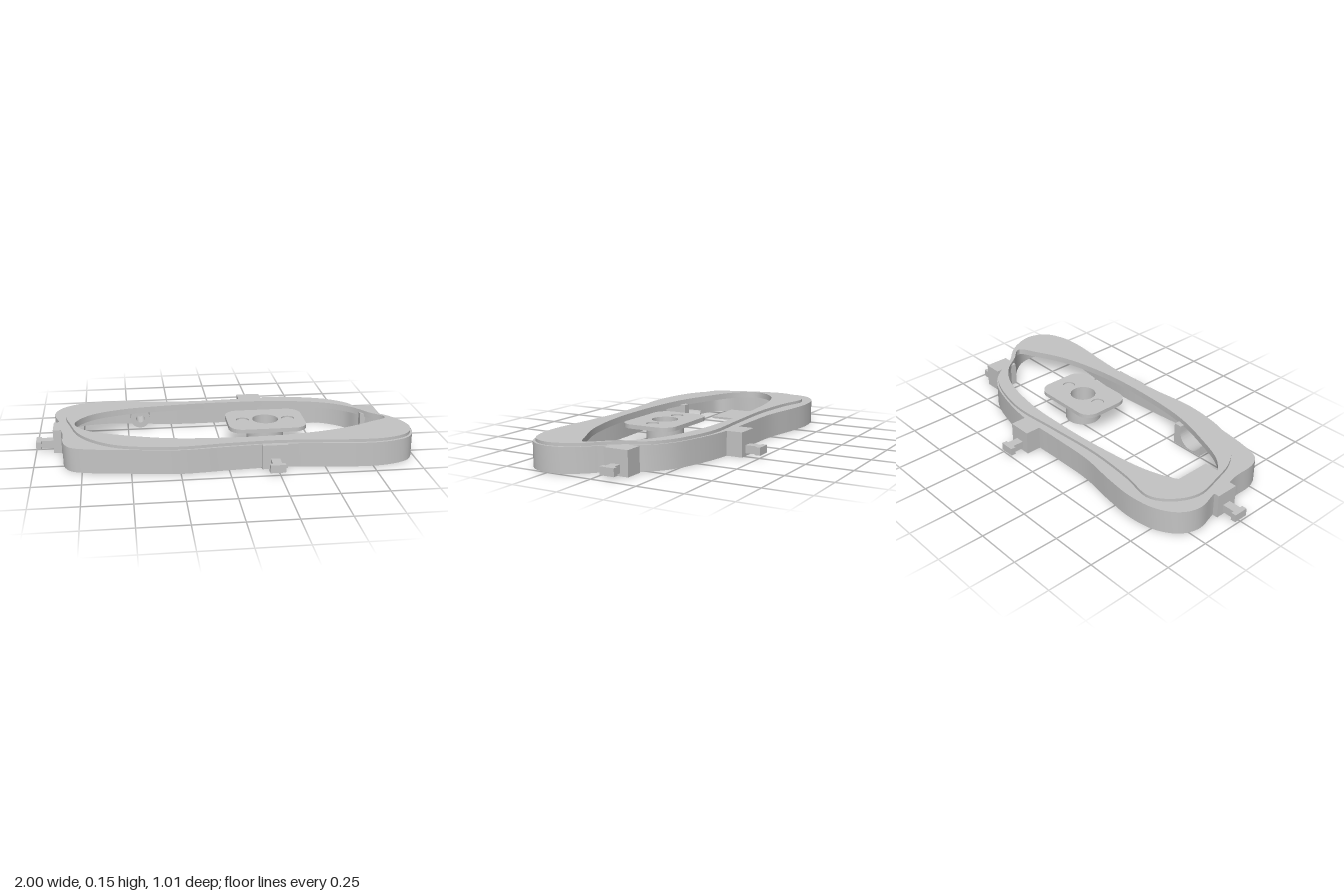
import * as THREE from 'three';
import { toCreasedNormals } from 'three/addons/utils/BufferGeometryUtils.js';

const grey = new THREE.MeshStandardMaterial({ color: 0xc4c4c4 });
grey.name = 'grey plastic';

// Closed smooth outline through clockwise [x, z] points, returned anticlockwise in shape space (y = -z)
const outline = (pts, n = 160) =>
  new THREE.CatmullRomCurve3(pts.map(([x, z]) => new THREE.Vector3(x, -z, 0)), true)
    .getSpacedPoints(n).slice(0, n).map((p) => new THREE.Vector2(p.x, p.y)).reverse();

// Move an anticlockwise outline inwards by d
const inset = (pts, d) => pts.map((p, i) => {
  const a = pts[(i + pts.length - 1) % pts.length], b = pts[(i + 1) % pts.length];
  const t = b.clone().sub(a).normalize();
  return new THREE.Vector2(p.x - t.y * d, p.y + t.x * d);
});

const circle = (x, y, r) => new THREE.Path().absarc(x, y, r, 0, Math.PI * 2, true);

function roundedRect(x0, x1, y0, y1, r) {
  const s = new THREE.Shape();
  s.absarc(x1 - r, y1 - r, r, 0, Math.PI / 2);
  s.absarc(x0 + r, y1 - r, r, Math.PI / 2, Math.PI);
  s.absarc(x0 + r, y0 + r, r, Math.PI, Math.PI * 1.5);
  s.absarc(x1 - r, y0 + r, r, Math.PI * 1.5, Math.PI * 2);
  return s;
}

export function createModel() {
  const model = new THREE.Group();
  model.name = 'housingFrame';

  const add = (name, geometry, parent = model) => {
    const m = new THREE.Mesh(geometry, grey);
    m.name = name;
    parent.add(m);
    return m;
  };
  // Horizontal slab from y0 to y1
  const slab = (name, shape, holes, y0, y1) => {
    shape.holes = holes;
    const g = new THREE.ExtrudeGeometry(shape, { depth: y1 - y0, bevelEnabled: false, curveSegments: 24 });
    g.rotateX(-Math.PI / 2).translate(0, y0, 0);
    return add(name, toCreasedNormals(g, 0.6));
  };
  const box = (name, x0, x1, y0, y1, z0, z1, parent) => {
    const m = add(name, new THREE.BoxGeometry(x1 - x0, y1 - y0, z1 - z0), parent);
    m.position.set((x0 + x1) / 2, (y0 + y1) / 2, (z0 + z1) / 2);
    return m;
  };

  // Outlines, listed clockwise seen from above
  const outer = outline([
    [-0.905, -0.19], [-0.87, -0.285], [-0.77, -0.355], [-0.62, -0.38], [-0.45, -0.365], [-0.24, -0.332],
    [0, -0.328], [0.28, -0.328], [0.51, -0.285], [0.66, -0.23], [0.76, -0.145], [0.8, -0.06], [0.86, 0.015],
    [0.93, 0.085], [0.985, 0.17], [0.998, 0.27], [0.955, 0.37], [0.84, 0.423], [0.7, 0.434], [0.46, 0.408],
    [0.24, 0.393], [0.02, 0.403], [-0.26, 0.422], [-0.5, 0.39], [-0.72, 0.355], [-0.81, 0.32], [-0.845, 0.25],
    [-0.85, 0.13], [-0.865, 0.05], [-0.875, -0.06]]);
  const lip = outline([
    [-0.84, -0.13], [-0.79, -0.25], [-0.69, -0.325], [-0.5, -0.295], [-0.24, -0.275], [0.08, -0.288],
    [0.35, -0.302], [0.51, -0.275], [0.65, -0.225], [0.75, -0.145], [0.79, -0.055], [0.85, 0.022],
    [0.92, 0.09], [0.973, 0.18], [0.988, 0.27], [0.945, 0.36], [0.83, 0.411], [0.7, 0.42], [0.46, 0.398],
    [0.24, 0.383], [0, 0.393], [-0.29, 0.413], [-0.56, 0.36], [-0.69, 0.27], [-0.77, 0.16], [-0.81, 0.03]]);
  const opening = outline([
    [-0.79, 0.02], [-0.72, -0.1], [-0.55, -0.18], [-0.24, -0.225], [0.08, -0.238], [0.35, -0.227],
    [0.62, -0.165], [0.75, -0.08], [0.83, 0.025], [0.9, 0.11], [0.8, 0.17], [0.62, 0.25], [0.35, 0.305],
    [0.03, 0.317], [-0.29, 0.29], [-0.5, 0.23], [-0.72, 0.13]]);

  // Thin side wall, top flange and raised lip
  slab('sideWall', new THREE.Shape(outer), [new THREE.Path(inset(outer, 0.022).reverse())], 0, 0.13);
  const openingHole = new THREE.Path(opening.slice().reverse());
  slab('topFlange', new THREE.Shape(inset(outer, 0.002)), [openingHole], 0.112, 0.13);
  slab('raisedLip', new THREE.Shape(lip), [openingHole], 0.13, 0.146);

  // Centre mounting plate with shallow screw recesses and a hollow stem
  const [cx, cy] = [0.24, -0.062];
  const plate = () => roundedRect(0.03, 0.45, -0.215, 0.09, 0.075);
  slab('centrePlateBase', plate(), [circle(cx, cy, 0.07)], 0.124, 0.138);
  slab('centrePlateTop', plate(),
    [circle(cx, cy, 0.07), circle(cx - 0.125, cy, 0.035), circle(cx + 0.125, cy, 0.035)], 0.138, 0.146);
  slab('centreStem', new THREE.Shape().absarc(cx, cy, 0.1, 0, Math.PI * 2), [circle(cx, cy, 0.07)], 0, 0.124);

  // Floor plate at the wide end
  box('floorPlate', -0.845, -0.57, 0, 0.012, -0.14, 0.218);

  // Side clips: block, tongue and T-shaped head, built pointing along +z
  const clip = (name, x, z, angle, width, depth, reach) => {
    const g = new THREE.Group();
    g.name = name;
    box('clipBlock', -width / 2, width / 2, 0, 0.13, -depth, 0, g);
    box('clipTongue', -0.024, 0.024, 0.015, 0.057, -0.01, reach - 0.028, g);
    box('clipHead', -0.04, 0.04, 0.015, 0.057, reach - 0.028, reach, g);
    g.position.set(x, 0, z);
    g.rotation.y = angle;
    model.add(g);
  };
  clip('frontClip', 0.237, 0.413, 0, 0.135, 0.035, 0.09);
  clip('backClip', 0.213, -0.415, Math.PI, 0.13, 0.1, 0.09);
  clip('leftClip', 0.89, -0.067, Math.PI / 2, 0.135, 0.1, 0.075);
  clip('rightClip', -0.905, 0, -Math.PI / 2, 0.125, 0.05, 0.095);

  // Upright profiles extruded along z
  const upright = (name, shape, holes, z0, z1) => {
    shape.holes = holes;
    const g = new THREE.ExtrudeGeometry(shape, { depth: z1 - z0, bevelEnabled: false, curveSegments: 20 });
    add(name, toCreasedNormals(g.translate(0, 0, z0), 0.6));
  };
  // Screw bosses on the back wall and inside the cradle
  const boss = (name, x, r, z0, z1) => upright(name,
    new THREE.Shape().absarc(x, 0.068, r, 0, Math.PI * 2), [circle(x, 0.068, 0.024)], z0, z1);
  boss('backBoss', -0.43, 0.055, -0.348, -0.24);
  boss('cradleBoss', -0.42, 0.045, 0.345, 0.39);

  // Cradle block with a round notch open at the top
  const cradle = new THREE.Shape();
  cradle.moveTo(-0.49, 0);
  cradle.lineTo(-0.3, 0);
  cradle.lineTo(-0.3, 0.12);
  cradle.lineTo(-0.345, 0.12);
  cradle.absarc(-0.42, 0.082, 0.075, 0, -2.8, true);
  upright('cradleBlock', cradle, [], 0.255, 0.385);

  return model;
}
